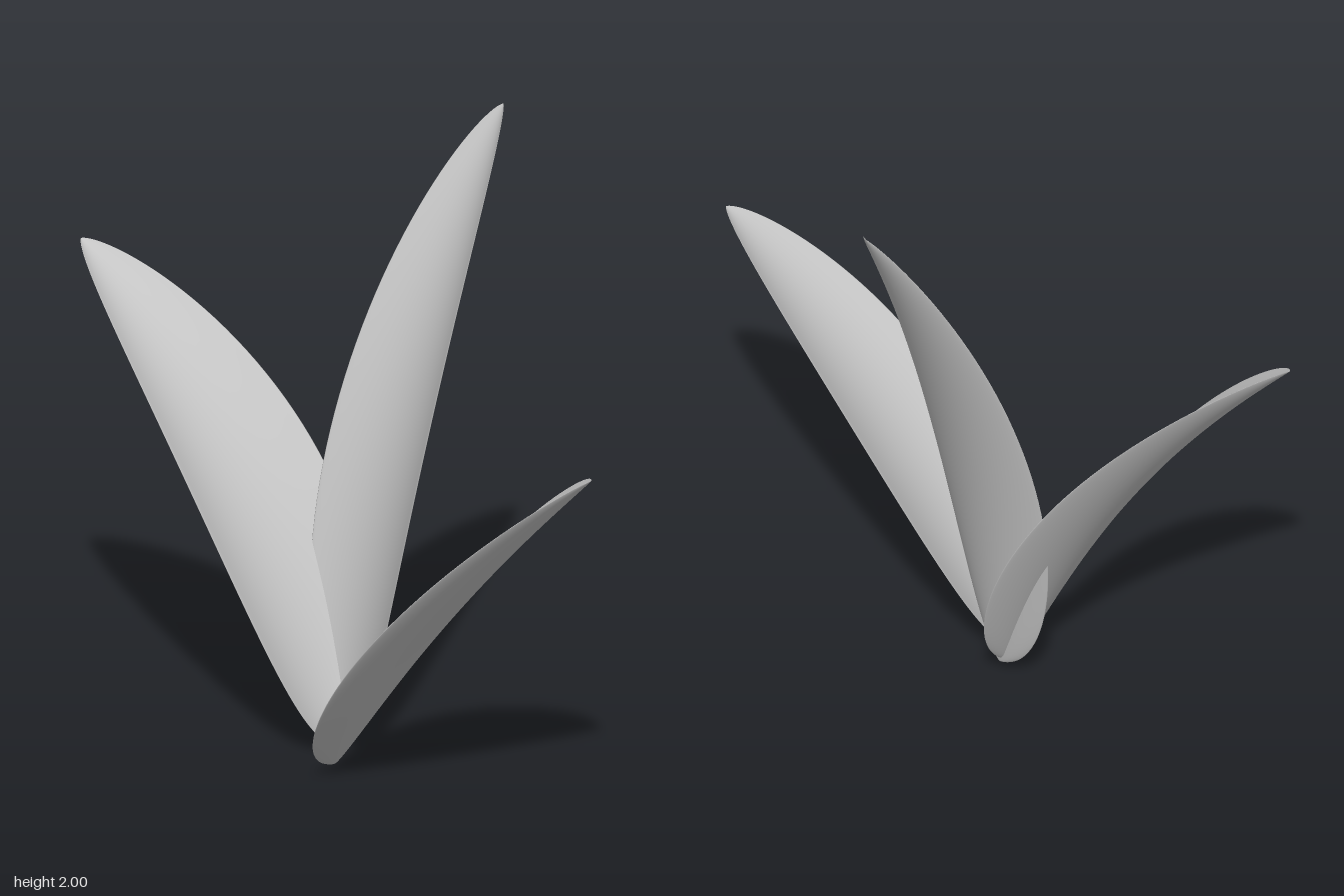
import * as THREE from 'three';

const leafGrey = new THREE.MeshStandardMaterial({ color: 0xc8c8c8 });
leafGrey.name = 'leafGrey';

// A cupped petal-shaped blade from base to tip: a thin closed lens section swept along a bowed midrib.
function makeLeaf({ name, base, tip, width, bow, cup, tilt, side }) {
  const from = new THREE.Vector3(...base);
  const axis = new THREE.Vector3(...tip).sub(from);
  const across = new THREE.Vector3(axis.z, 0, -axis.x).normalize();
  const inward = axis.clone().normalize().cross(across);
  const rows = 56, ring = 48, thickness = 0.011;
  const positions = [], index = [];

  for (let i = 0; i <= rows; i++) {
    const u = (1 - Math.cos((Math.PI * i) / rows)) / 2;
    const taper = Math.max(0, u ** 0.5 * Math.max(0, 1 - u) ** 0.7 / 0.442); // rounded base, narrow tip
    const arch = 4 * u * (1 - u);
    for (let j = 0; j < ring; j++) {
      const angle = (2 * Math.PI * j) / ring;
      const v = Math.cos(angle);
      const w = width * taper * v;
      const depth = bow * arch + cup * taper * v * v + tilt * w
        + thickness * Math.min(1, taper) * Math.sin(angle);
      const p = from.clone()
        .addScaledVector(axis, u)
        .addScaledVector(across, w + side * arch)
        .addScaledVector(inward, depth);
      positions.push(p.x, p.y, p.z);
      if (i < rows) {
        const k = (j + 1) % ring;
        const a = i * ring + j, b = i * ring + k, c = a + ring, d = b + ring;
        index.push(a, b, c, b, d, c);
      }
    }
  }

  const geometry = new THREE.BufferGeometry();
  geometry.setAttribute('position', new THREE.Float32BufferAttribute(positions, 3));
  geometry.setIndex(index);
  geometry.computeVertexNormals();
  const mesh = new THREE.Mesh(geometry, leafGrey);
  mesh.name = name;
  return mesh;
}

export function createModel() {
  const plant = new THREE.Group();
  plant.name = 'leafCluster';
  const leaves = [
    // tall leaf leaning back and to the left
    { name: 'tallLeaf', base: [0.05, 0.03, -0.16], tip: [0.53, 2.0, -0.565],
      width: 0.272, bow: 0.1, cup: 0.09, tilt: -0.18, side: 0 },
    // middle leaf leaning back and to the right
    { name: 'middleLeaf', base: [0.0, 0.02, -0.14], tip: [-0.795, 1.485, -0.735],
      width: 0.262, bow: 0.1, cup: 0.09, tilt: -0.19, side: -0.02 },
    // short leaf leaning forward and to the left
    { name: 'shortLeaf', base: [0.0, 0.0, 0.0], tip: [0.8, 1.225, 0.725],
      width: 0.268, bow: 0.035, cup: 0.08, tilt: 0.17, side: -0.05 },
  ];
  for (const leaf of leaves) plant.add(makeLeaf(leaf));
  return plant;
}
